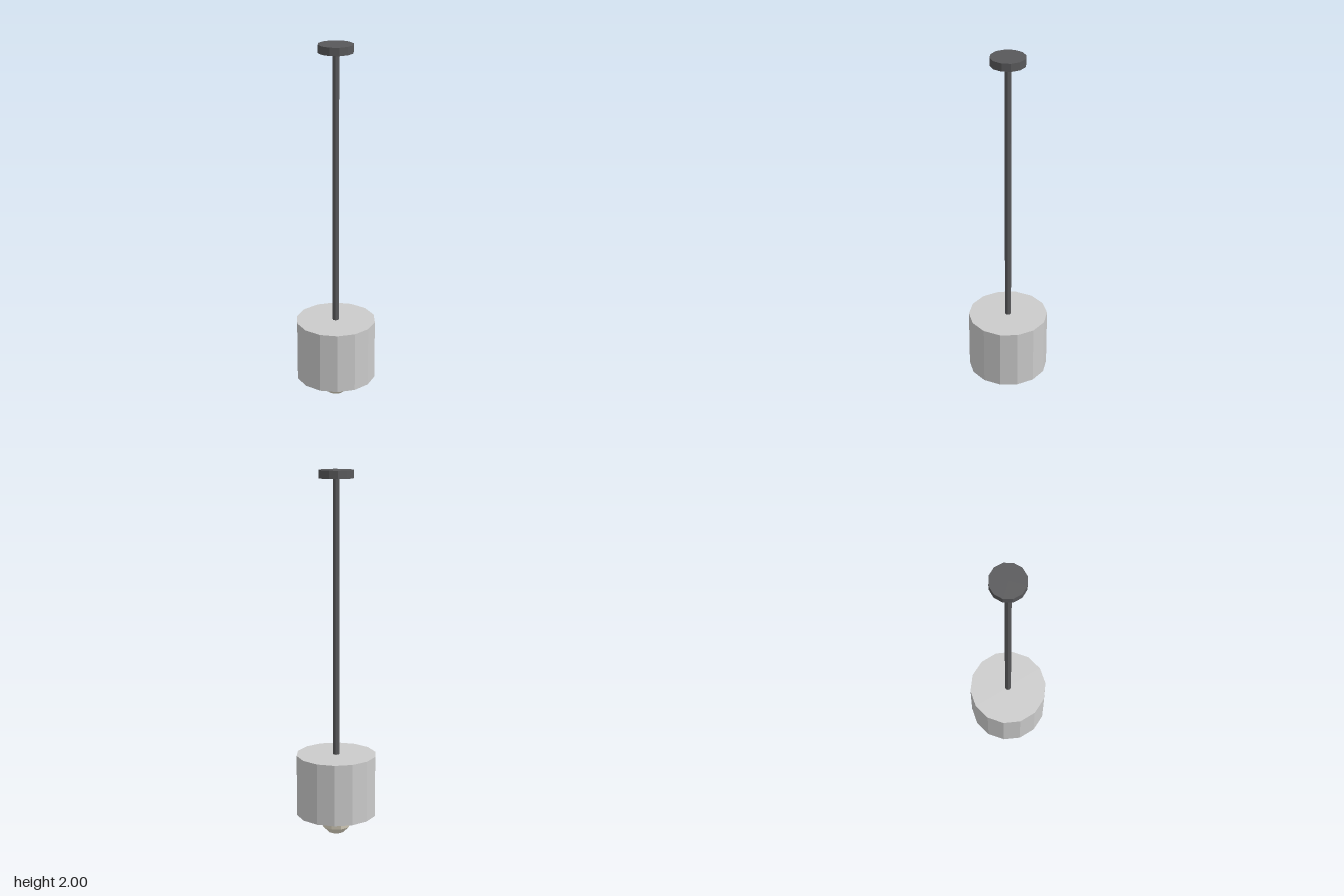
import * as THREE from 'three';

export function createModel() {
  const group = new THREE.Group();
  const material = (color) => new THREE.MeshStandardMaterial({ color, flatShading: true });
  const dark = material(0x58585a);
  const grey = material(0xcccccc);
  const warm = material(0xe6dfcb);

  const add = (name, geometry, mat, y) => {
    const mesh = new THREE.Mesh(geometry, mat);
    mesh.name = name;
    mesh.position.y = y;
    group.add(mesh);
    return mesh;
  };
  // Upright faceted cylinder between two heights
  const cylinder = (name, radius, bottom, top, sides, mat) =>
    add(name, new THREE.CylinderGeometry(radius, radius, top - bottom, sides), mat, (top + bottom) / 2);

  cylinder('ceilingCanopy', 0.094, 1.957, 2, 12, dark);
  cylinder('rod', 0.018, 0.45, 1.96, 8, dark);
  cylinder('shade', 0.22, 0.118, 0.457, 14, grey);

  // Bulb emerging below the shade, with a corner facing forward
  const bulb = add('bulb', new THREE.SphereGeometry(0.0925, 10, 6), warm, 0.0925);
  bulb.rotation.y = Math.PI / 2;

  return group;
}
